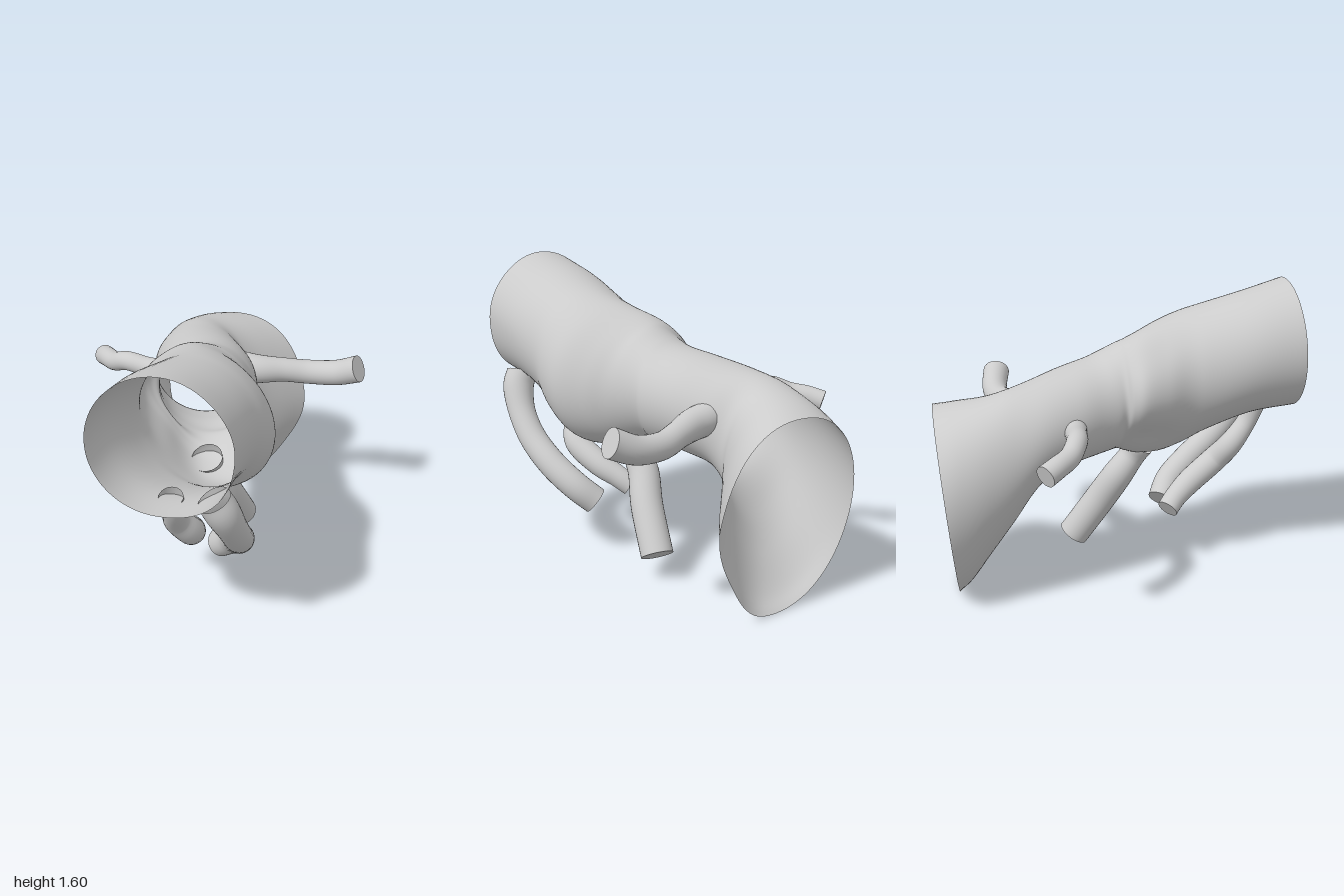
import * as THREE from 'three';

const V = (x, y, z) => new THREE.Vector3(x, y, z);
const spline = (pts) => new THREE.CatmullRomCurve3(pts, false, 'catmullrom', 0.5);

// Flatten (positive) or fill out (negative) a section by quadrant; the upper quadrants change half as much
function quadrantScale(a, left, right) {
  const low = Math.sin(a) < 0;
  const k = Math.cos(a) < 0 ? left * (low ? 1 : 0.5) : right * (low ? 1 : -0.5);
  return 1 - k * Math.sin(2 * a) ** 2;
}

// Skin a smooth surface over rings {c, u, v}: centre and two half axes
function loft(rings, sides, capped) {
  const pos = [], idx = [];
  const addRing = ({ c, u, v, left = 0, right = 0 }) => {
    for (let j = 0; j < sides; j++) {
      const a = (j / sides) * Math.PI * 2, s = quadrantScale(a, left, right);
      const p = c.clone().addScaledVector(u, s * Math.cos(a)).addScaledVector(v, s * Math.sin(a));
      pos.push(p.x, p.y, p.z);
    }
  };
  rings.forEach(addRing);
  for (let i = 0; i < rings.length - 1; i++) {
    for (let j = 0; j < sides; j++) {
      const k = (j + 1) % sides;
      const a = i * sides + j, b = i * sides + k;
      idx.push(a, a + sides, b, b, a + sides, b + sides);
    }
  }
  if (capped) {
    // separate rim so the cut end stays sharp
    const start = rings.length * sides, last = rings[rings.length - 1];
    addRing(last);
    pos.push(last.c.x, last.c.y, last.c.z);
    for (let j = 0; j < sides; j++) idx.push(start + j, start + sides, start + (j + 1) % sides);
  }
  const g = new THREE.BufferGeometry();
  g.setAttribute('position', new THREE.Float32BufferAttribute(pos, 3));
  g.setIndex(idx);
  g.computeVertexNormals();
  return g;
}

// Main vessel sections: edge at -x (x, z), edge at +x (x, z), top y, bottom y
const SECTIONS = [
  [-0.03, 1.00, 0.665, 0.89, 1.60, 0.895],
  [-0.06, 0.75, 0.63, 0.68, 1.54, 0.86],
  [-0.065, 0.50, 0.605, 0.47, 1.475, 0.77],
  [-0.08, 0.38, 0.61, 0.33, 1.44, 0.69],
  [-0.14, 0.26, 0.59, 0.20, 1.40, 0.65],
  [-0.19, 0.14, 0.50, 0.08, 1.355, 0.665],
  [-0.175, 0.075, 0.42, 0.00, 1.325, 0.69],
  [-0.145, 0.04, 0.37, -0.07, 1.30, 0.71],
  [-0.16, 0.00, 0.325, -0.16, 1.265, 0.72],
  [-0.20, -0.08, 0.315, -0.23, 1.235, 0.705],
  [-0.28, -0.20, 0.24, -0.38, 1.205, 0.685],
  [-0.38, -0.38, 0.14, -0.53, 1.165, 0.615],
  [-0.44, -0.54, 0.09, -0.63, 1.135, 0.42],
  [-0.48, -0.68, 0.14, -0.72, 1.10, 0.24],
  [-0.51, -0.80, 0.24, -0.86, 1.06, 0.08],
  [-0.53, -0.875, 0.32, -0.99, 1.02, 0.005],
];
// Section index: lean of the top (x, z), rise of the +x edge, flattening at -x and +x
const SHAPING = {
  0: [0, -0.015, 0.01, 0, -0.05],
  1: [0, 0, 0, 0, -0.03],
  3: [0, 0, -0.02, 0.05, 0],
  4: [0, 0, -0.04, 0.13, 0],
  5: [0, 0, -0.05, 0.16, 0],
  6: [0, 0, -0.04, 0.13, 0],
  7: [0, 0, -0.02, 0.07, 0],
  12: [-0.02, 0, 0.02, 0, 0.02],
  13: [-0.05, 0, 0.04, -0.01, 0.05],
  14: [-0.08, -0.02, 0.06, -0.02, 0.08],
  15: [-0.10, -0.035, 0.08, -0.02, 0.10],
};

function mainVessel() {
  const shaping = SECTIONS.map((s, i) => SHAPING[i] ?? [0, 0, 0, 0, 0]);
  const c = spline(SECTIONS.map(([lx, lz, rx, rz, t, b]) => V((lx + rx) / 2, (t + b) / 2, (lz + rz) / 2)));
  const u = spline(SECTIONS.map(([lx, lz, rx, rz], i) => V((rx - lx) / 2, shaping[i][2], (rz - lz) / 2)));
  const v = spline(SECTIONS.map(([, , , , t, b], i) => V(shaping[i][0], (t - b) / 2, shaping[i][1])));
  const flat = spline(shaping.map((s) => V(s[3], s[4], 0)));
  const rings = [], n = 90;
  for (let i = n; i >= 0; i--) {
    const t = i / n, f = flat.getPoint(t);
    rings.push({ c: c.getPoint(t), u: u.getPoint(t), v: v.getPoint(t), left: f.x, right: f.y });
  }
  return loft(rings, 72, false);
}

// Branch through points [x, y, z, radius], open at the root and capped at the tip
function branch(points) {
  const path = spline(points.map(([x, y, z]) => V(x, y, z)));
  const radius = spline(points.map((p) => V(p[3], 0, 0)));
  const n = 36, rings = [];
  let normal = V(0.3, 0.2, 0.9);
  for (let i = 0; i <= n; i++) {
    const t = i / n, r = radius.getPoint(t).x, dir = path.getTangent(t);
    normal = normal.clone().addScaledVector(dir, -normal.dot(dir)).normalize();
    const side = dir.clone().cross(normal);
    rings.push({ c: path.getPoint(t), u: normal.clone().multiplyScalar(r), v: side.multiplyScalar(-r) });
  }
  return loft(rings, 28, true);
}

const BRANCHES = {
  leftBackBranch: [
    [0.10, 0.94, -0.50, 0.085], [0.20, 0.93, -0.53, 0.08], [0.32, 0.92, -0.60, 0.068],
    [0.45, 0.905, -0.665, 0.068], [0.60, 0.92, -0.695, 0.071], [0.73, 0.975, -0.69, 0.075],
  ],
  rightBackBranch: [
    [-0.28, 0.95, -0.24, 0.062], [-0.36, 0.955, -0.235, 0.056], [-0.48, 0.965, -0.235, 0.054],
    [-0.58, 0.925, -0.27, 0.054], [-0.66, 0.905, -0.33, 0.056], [-0.72, 0.88, -0.39, 0.058],
  ],
  leftFrontBranch: [
    [0.525, 0.945, 0.79, 0.085], [0.56, 0.865, 0.765, 0.086], [0.575, 0.74, 0.69, 0.076],
    [0.56, 0.61, 0.58, 0.076], [0.51, 0.49, 0.44, 0.078], [0.43, 0.385, 0.32, 0.078], [0.335, 0.295, 0.265, 0.077],
  ],
  middleFrontBranch: [
    [0.30, 0.89, 0.785, 0.06], [0.295, 0.78, 0.74, 0.056], [0.265, 0.66, 0.65, 0.066],
    [0.295, 0.55, 0.56, 0.072], [0.23, 0.45, 0.42, 0.07], [0.155, 0.385, 0.33, 0.062], [0.10, 0.335, 0.28, 0.06],
  ],
  lowerBranch: [
    [0.18, 0.70, 0.12, 0.085], [0.185, 0.63, 0.08, 0.074], [0.175, 0.52, 0.00, 0.084],
    [0.21, 0.36, -0.10, 0.087], [0.235, 0.14, -0.25, 0.087],
  ],
};

export function createModel() {
  const group = new THREE.Group();
  group.name = 'branchedVessel';
  const material = new THREE.MeshStandardMaterial({ color: 0xcccccc, side: THREE.DoubleSide });
  const add = (name, geometry) => {
    const mesh = new THREE.Mesh(geometry, material);
    mesh.name = name;
    group.add(mesh);
  };
  add('mainVessel', mainVessel());
  for (const [name, points] of Object.entries(BRANCHES)) add(name, branch(points));
  return group;
}
